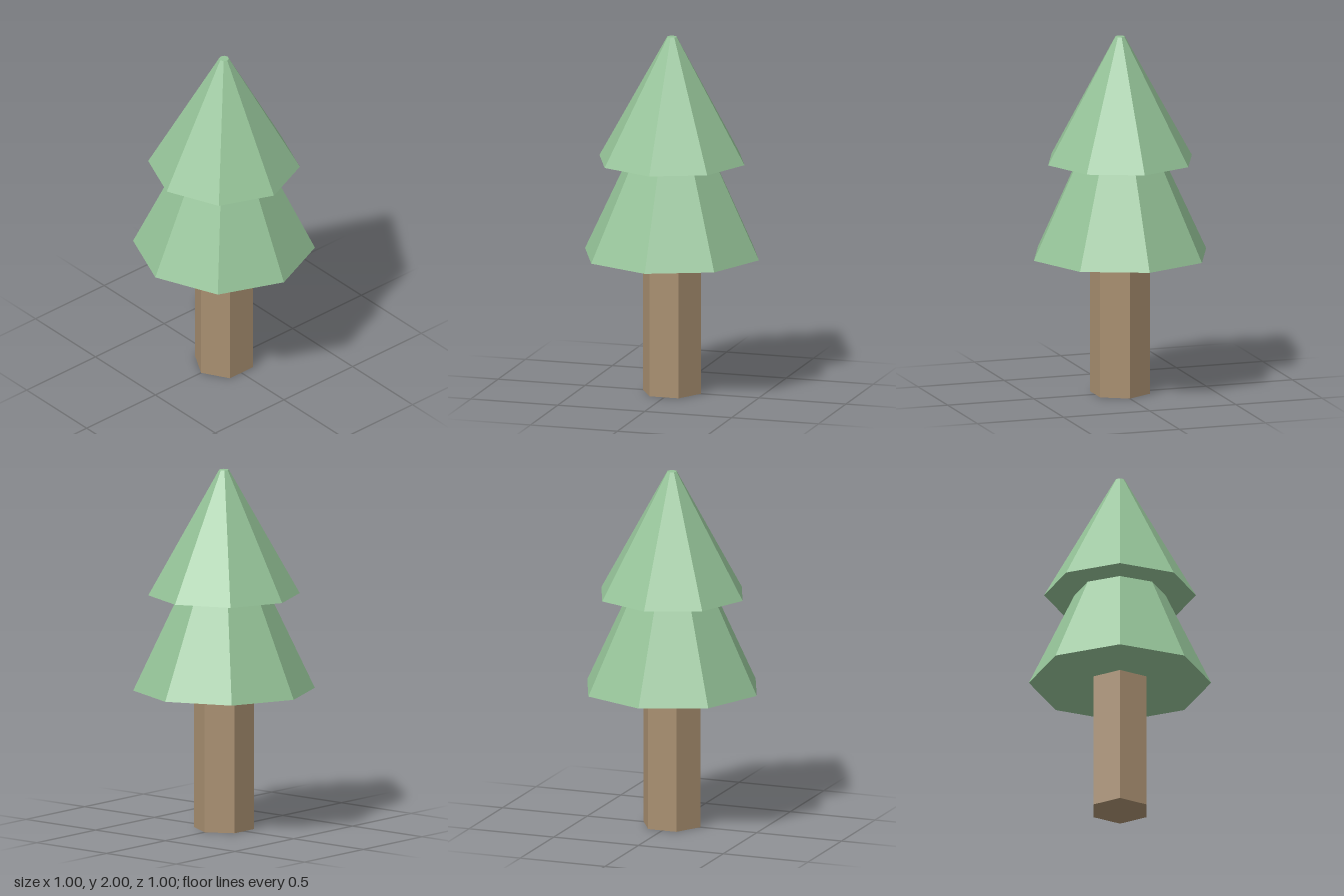
import * as THREE from 'three';

export function createModel() {
  const tree = new THREE.Group();
  tree.name = 'pineTree';

  const foliage = new THREE.MeshStandardMaterial({ color: 0x94c297 });
  foliage.name = 'foliage green';
  const bark = new THREE.MeshStandardMaterial({ color: 0xa88f70 });
  bark.name = 'bark brown';

  // Faceted frustum standing between two heights, with a corner facing +z
  function addFrustum(name, material, sides, rBottom, rTop, y0, y1) {
    const geometry = new THREE.CylinderGeometry(rTop, rBottom, y1 - y0, sides).toNonIndexed();
    geometry.computeVertexNormals(); // flat facets
    const mesh = new THREE.Mesh(geometry, material);
    mesh.name = name;
    mesh.position.y = (y0 + y1) / 2;
    tree.add(mesh);
  }

  // Hexagonal trunk, running just into the foliage
  addFrustum('trunk', bark, 6, 0.167, 0.167, 0, 0.79);
  // Two octagonal tiers of foliage, the lower one tucked into the upper
  addFrustum('lowerFoliage', foliage, 8, 0.5, 0.24, 0.775, 1.325);
  addFrustum('upperFoliage', foliage, 8, 0.417, 0.027, 1.305, 2);

  return tree;
}
